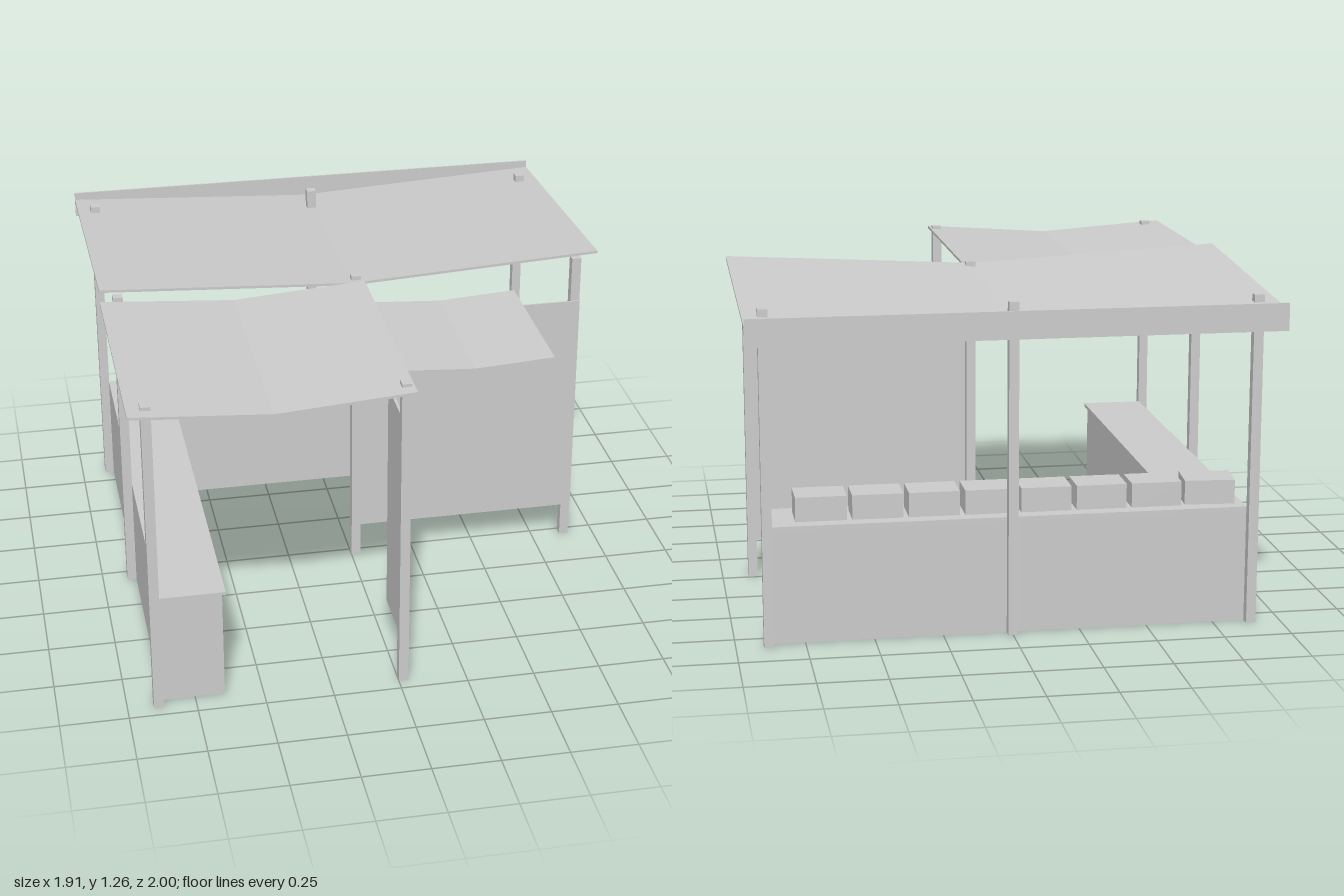
import * as THREE from 'three';

export function createModel() {
  const model = new THREE.Group();
  model.name = 'marketStall';
  const grey = new THREE.MeshStandardMaterial({ color: 0xcccccc });
  grey.name = 'plain grey';

  const add = (name, geometry) => {
    const mesh = new THREE.Mesh(geometry, grey);
    mesh.name = name;
    model.add(mesh);
    return mesh;
  };

  // Box given by its minimum and maximum on each axis
  const box = (name, x0, x1, y0, y1, z0, z1) => {
    const mesh = add(name, new THREE.BoxGeometry(x1 - x0, y1 - y0, z1 - z0));
    mesh.position.set((x0 + x1) / 2, (y0 + y1) / 2, (z0 + z1) / 2);
    return mesh;
  };

  // Thin sheet folded into a valley along z, falling by `drop` towards the back
  const valleyRoof = (name, x0, x1, z0, z1, edgeY, valleyY, drop = 0, t = 0.01) => {
    const mid = (x0 + x1) / 2;
    const shape = new THREE.Shape([
      [x0, edgeY - t], [mid, valleyY - t], [x1, edgeY - t],
      [x1, edgeY], [mid, valleyY], [x0, edgeY],
    ].map(([x, y]) => new THREE.Vector2(x, y)));
    const geometry = new THREE.ExtrudeGeometry(shape, { depth: z1 - z0, bevelEnabled: false });
    geometry.translate(0, 0, z0);
    const p = geometry.attributes.position;
    for (let i = 0; i < p.count; i++) {
      p.setY(i, p.getY(i) - drop * (z1 - p.getZ(i)) / (z1 - z0));
    }
    geometry.computeVertexNormals();
    return add(name, geometry);
  };

  // Posts, poking slightly through the roofs
  const posts = [
    [-0.887, -0.838], [0, -0.838], [0.882, -0.838],
    [-0.887, 0.045], [0.018, 0.024], [0.882, 0.024],
    [-0.887, 0.935], [0.018, 0.935],
  ];
  const r = 0.018;
  for (const [x, z] of posts) box('post', x - r, x + r, 0, 1.225, z - r, z + r);

  // Roofs and the board along the back edge
  valleyRoof('mainRoof', -0.955, 0.955, -0.995, 0.065, 1.262, 1.21, 0.07);
  valleyRoof('frontRoof', -0.955, 0.045, 0.067, 1, 1.216, 1.18);
  valleyRoof('smallCanopy', 0.045, 0.635, 0.045, 0.635, 1.115, 1.097);
  box('backFascia', -0.955, 0.955, 1.12, 1.22, -1, -0.993);
  box('canopyFascia', 0.04, 0.632, 1.01, 1.09, 0.044, 0.052);

  // Hanging screens
  box('wideScreen', 0, 0.9, 0.14, 1.048, 0.042, 0.048);
  box('sideScreen', 0.022, 0.032, 0.14, 1.042, 0.62, 0.918);

  // L-shaped counter, extruded upwards from its plan
  const counter = (name, inset, y0, y1) => {
    const [l, b, rt, f] = [-0.87, -0.82, 0.868, 0.91];
    const ix = -0.64 + inset, iz = -0.592 + inset;
    const plan = new THREE.Shape([
      [l, -b], [l, -f], [ix, -f], [ix, -iz], [rt, -iz], [rt, -b],
    ].map(([x, y]) => new THREE.Vector2(x, y)));
    const geometry = new THREE.ExtrudeGeometry(plan, { depth: y1 - y0, bevelEnabled: false });
    geometry.rotateX(-Math.PI / 2).translate(0, y0, 0);
    return add(name, geometry);
  };
  counter('counterBase', 0, 0, 0.42);
  counter('counterTop', 0.014, 0.42, 0.434);

  // Row of crates on the back counter, the first one knocked askew
  for (let i = 0; i < 8; i++) {
    const x = -0.842 + i * 0.2045;
    const crate = box('crate', x, x + 0.185, 0.434, 0.524, -0.766, -0.627);
    if (i === 0) {
      crate.position.x = -0.75;
      crate.rotation.y = -0.08;
    }
  }
  return model;
}
